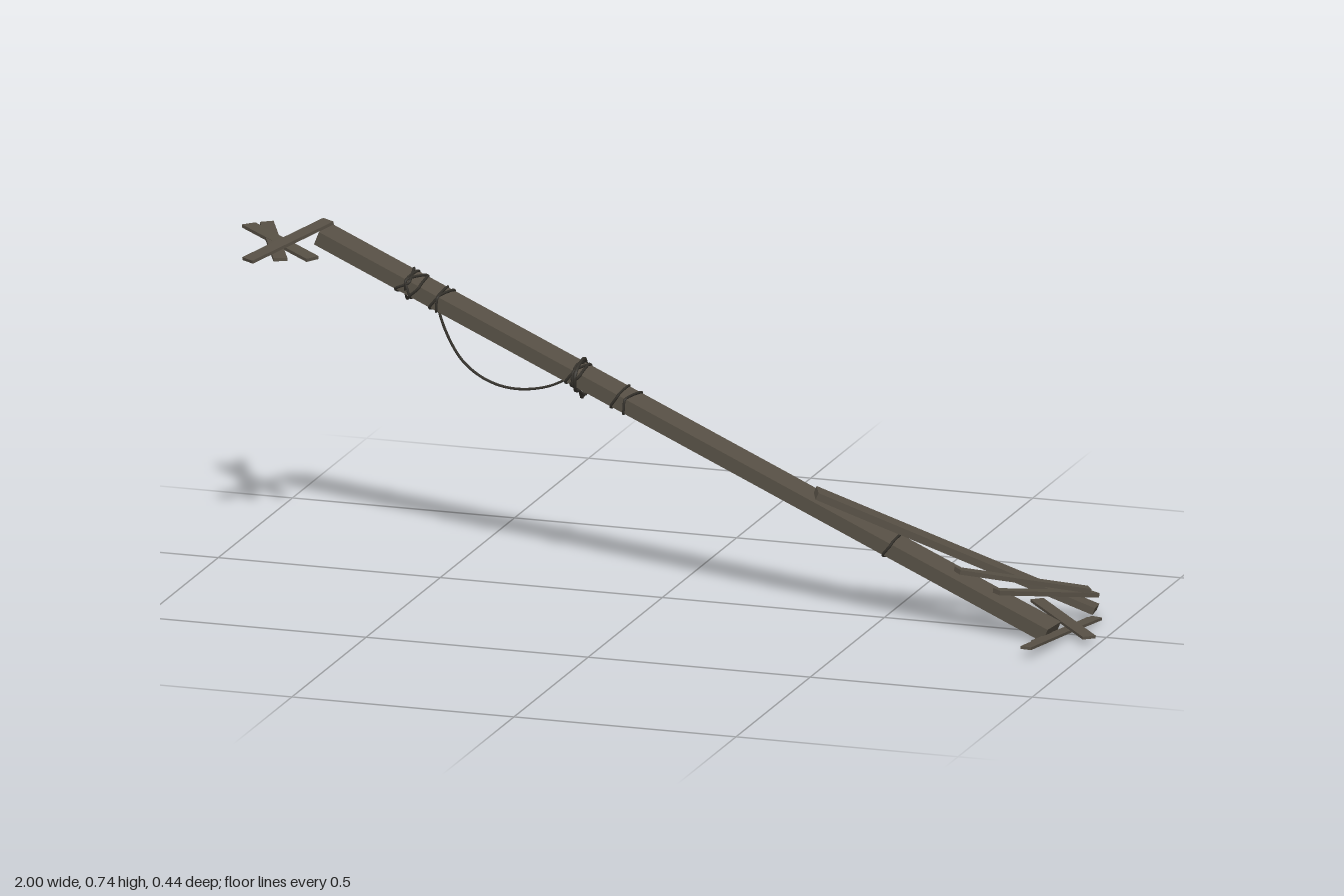
import * as THREE from 'three';

const V = (p) => new THREE.Vector3(...p);

export function createModel() {
  const model = new THREE.Group();
  const wood = new THREE.MeshStandardMaterial({ name: 'weathered wood', color: 0x575045 });
  const ropeMat = new THREE.MeshStandardMaterial({ name: 'dark rope', color: 0x35322c });

  // Board between two points, wide side facing up; skew cuts its ends at a slant
  function plank(name, a, b, width, thick, skew = [0, 0]) {
    const start = V(a), end = V(b);
    const x = end.clone().sub(start), length = x.length();
    x.normalize();
    const z = x.clone().cross(new THREE.Vector3(0, 1, 0)).normalize();
    const y = z.clone().cross(x);
    const geo = new THREE.BoxGeometry(length, thick, width);
    const pos = geo.attributes.position;
    for (let i = 0; i < pos.count; i++) {
      const px = pos.getX(i);
      pos.setX(i, px + pos.getZ(i) * skew[px < 0 ? 0 : 1]);
    }
    geo.computeVertexNormals();
    const group = new THREE.Group();
    group.name = name;
    const mesh = new THREE.Mesh(geo, wood);
    mesh.name = name + 'Board';
    group.add(mesh);
    group.quaternion.setFromRotationMatrix(new THREE.Matrix4().makeBasis(x, y, z));
    group.position.copy(start).add(end).multiplyScalar(0.5);
    model.add(group);
    return group;
  }

  function rope(name, points, radius, closed, parent = model) {
    const curve = new THREE.CatmullRomCurve3(points.map(V), closed, 'centripetal');
    const mesh = new THREE.Mesh(new THREE.TubeGeometry(curve, points.length * 6, radius, 6, closed), ropeMat);
    mesh.name = name;
    parent.add(mesh);
  }

  // Main leaning beam
  const W = 0.071, T = 0.031;
  const beam = plank('mainBeam', [-0.8, 0.71, -0.108], [0.892, 0.018, 0.045], W, T);

  // Rope turns tight around the beam: [world x, slant]
  const turns = [[-0.6, 0.012], [-0.588, -0.01], [-0.572, 0.006], [-0.528, 0.004], [-0.52, -0.004],
    [-0.212, 0.004], [-0.204, -0.005], [-0.198, 0.006], [-0.108, 0.003], [-0.085, -0.004], [0.525, 0.004]];
  turns.forEach(([x, slant], i) => {
    const t = ((x + 0.8) / 1.692 - 0.5) * 1.834;
    const h = T / 2 + 0.002, w = W / 2 + 0.002, c = 0.004;
    const ring = [[h, -w + c], [h, w - c], [h - c, w], [-h + c, w], [-h, w - c], [-h, -w + c], [-h + c, -w], [h - c, -w]];
    rope('ropeTurn' + (i + 1), ring.map(([y, z]) => [t + slant * Math.sign(y) * z / w, y, z]), 0.003, true, beam);
  });

  // Loose loops hanging from the turns
  rope('lowerLoop', [[-0.2, 0.475, -0.01], [-0.2, 0.493, -0.04], [-0.205, 0.488, -0.095], [-0.205, 0.45, -0.103],
    [-0.208, 0.415, -0.094], [-0.208, 0.408, -0.082], [-0.206, 0.428, -0.06], [-0.203, 0.442, -0.02]], 0.004, true);
  rope('lowerLoopInner', [[-0.21, 0.47, -0.016], [-0.208, 0.489, -0.05], [-0.203, 0.475, -0.095],
    [-0.2, 0.43, -0.098], [-0.2, 0.415, -0.082], [-0.206, 0.44, -0.04]], 0.003, true);
  rope('upperLoop', [[-0.595, 0.64, -0.05], [-0.59, 0.647, -0.09], [-0.59, 0.64, -0.128],
    [-0.6, 0.605, -0.126], [-0.605, 0.588, -0.105], [-0.6, 0.6, -0.07]], 0.003, true);

  // Slack rope strung behind the beam
  rope('slackRope', [[-0.54, 0.615, -0.123], [-0.545, 0.575, -0.12], [-0.525, 0.515, -0.115], [-0.485, 0.455, -0.11],
    [-0.43, 0.42, -0.105], [-0.365, 0.408, -0.1], [-0.29, 0.42, -0.1], [-0.235, 0.45, -0.1], [-0.205, 0.48, -0.097]], 0.003, false);

  // Crossed boards at the upper end
  plank('upperSlantedBoard', [-0.913, 0.687, 0.063], [-0.79, 0.738, -0.115], 0.036, 0.007);
  plank('upperCrossBoard1', [-0.962, 0.693, -0.213], [-0.845, 0.69, 0.045], 0.03, 0.007, [0.2, 0]);
  plank('upperCrossBoard2', [-0.99, 0.696, -0.175], [-0.785, 0.687, 0.008], 0.033, 0.007, [0, 0.2]);

  // Braces resting against the lower end
  plank('longBrace', [0.355, 0.274, 0.026], [0.932, 0.025, -0.132], 0.047, 0.016, [0.15, -0.15]);
  plank('shortBrace1', [0.675, 0.132, 0.033], [0.918, 0.068, -0.13], 0.028, 0.01, [0.2, 0]);
  plank('shortBrace2', [0.767, 0.096, 0.044], [0.925, 0.055, -0.146], 0.028, 0.01, [0, 0.2]);

  // Crossed boards on the ground
  plank('groundBoard1', [0.89, 0.027, 0.215], [0.93, 0.007, -0.12], 0.025, 0.006);
  plank('groundBoard2', [0.79, 0.026, -0.16], [0.983, 0.019, 0.065], 0.03, 0.006);
  plank('groundBoard3', [0.885, 0.016, 0.128], [0.94, 0.011, -0.115], 0.026, 0.006);

  return model;
}
